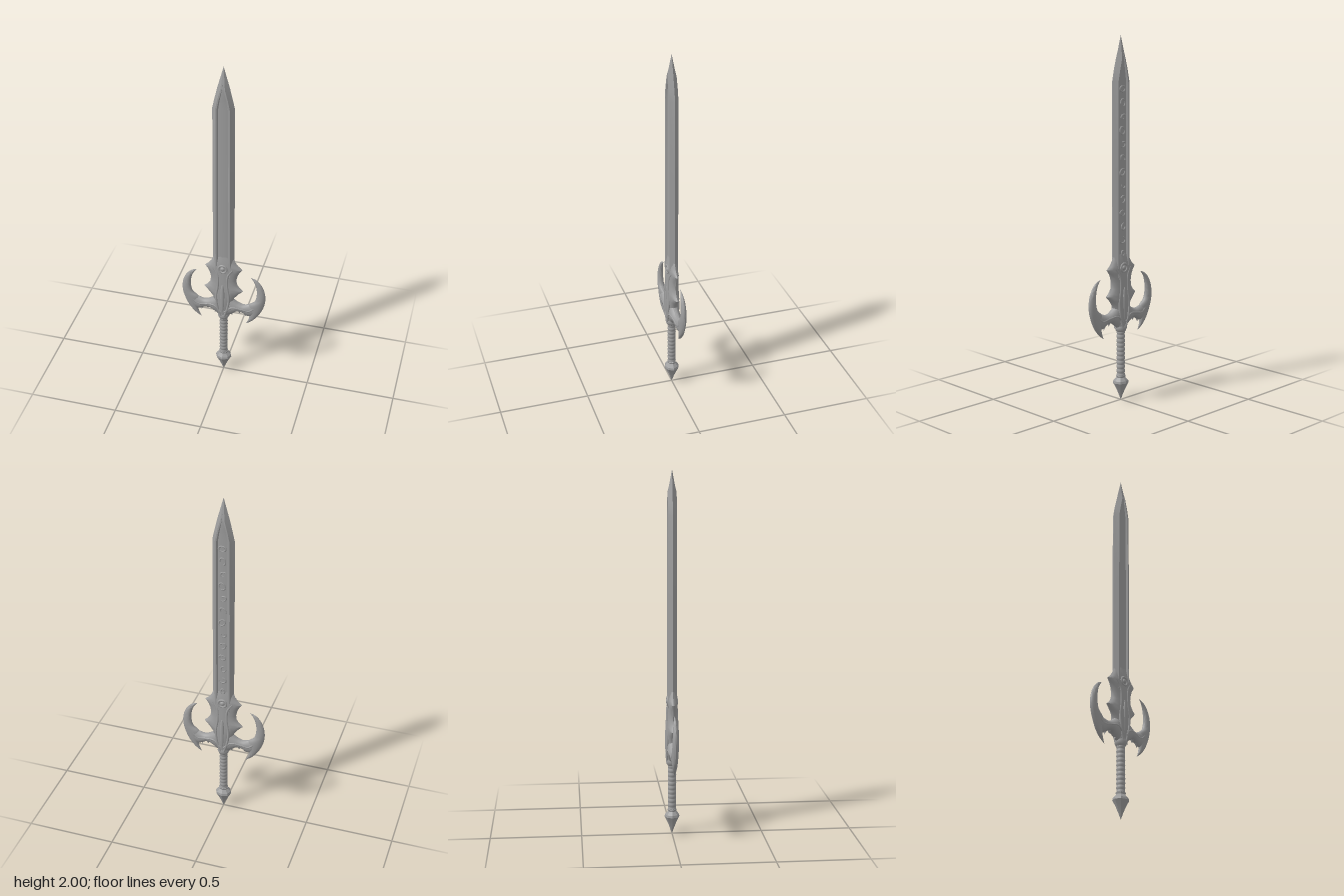
import * as THREE from 'three';
import { toCreasedNormals } from 'three/addons/utils/BufferGeometryUtils.js';

// Skin a list of closed rings (equal point counts) and cap both ends
function skin(rings, crease = 0.6) {
  const n = rings[0].length, pos = rings.flat(2), idx = [];
  for (let r = 0; r < rings.length - 1; r++) {
    for (let k = 0; k < n; k++) {
      const a = r * n + k, b = r * n + (k + 1) % n;
      idx.push(a, b, a + n, b, b + n, a + n);
    }
  }
  const last = (rings.length - 1) * n;
  for (let k = 1; k < n - 1; k++) idx.push(0, k + 1, k, last, last + k, last + k + 1);
  // Signed volume decides the winding, so mirrored parts also face outward
  const v = i => new THREE.Vector3().fromArray(pos, i * 3);
  let vol = 0;
  for (let i = 0; i < idx.length; i += 3) vol += v(idx[i]).dot(v(idx[i + 1]).cross(v(idx[i + 2])));
  if (vol < 0) idx.reverse();
  const g = new THREE.BufferGeometry();
  g.setAttribute('position', new THREE.Float32BufferAttribute(pos, 3));
  g.setIndex(idx);
  return toCreasedNormals(g, crease);
}

// Lens-shaped ring spanning edge points a and b with half thickness t
function lens([ax, ay, bx, by, t], side = 1) {
  const ring = [];
  for (let k = 0; k < 16; k++) {
    const a = k / 16 * Math.PI * 2, u = (1 - Math.cos(a)) / 2, s = Math.sin(a);
    ring.push([side * (ax + (bx - ax) * u), ay + (by - ay) * u, t * Math.sign(s) * Math.abs(s) ** 1.2]);
  }
  return ring;
}

// Smooth a list of sections with a spline through each number
function smooth(list, steps) {
  const out = [], n = list.length - 1;
  for (let i = 0; i <= n * steps; i++) {
    const j = Math.min(Math.floor(i / steps), n - 1), f = i / steps - j;
    const at = k => list[Math.max(0, Math.min(n, k))];
    out.push(list[0].map((_, c) => {
      const p = at(j - 1)[c], q = at(j)[c], r = at(j + 1)[c], s = at(j + 2)[c];
      return q + 0.5 * f * (r - p + f * (2 * p - 5 * q + 4 * r - s + f * (3 * (q - r) + s - p)));
    }));
  }
  return out;
}

export function createModel() {
  const model = new THREE.Group();
  const steel = new THREE.MeshStandardMaterial({ color: 0x9e9e9e });
  steel.name = 'steel grey';
  const add = (name, geo, x = 0, y = 0, z = 0) => {
    const m = new THREE.Mesh(geo, steel);
    m.name = name;
    m.position.set(x, y, z);
    model.add(m);
    return m;
  };

  // Blade: height, half width, fuller half width, rim half thickness, fuller half thickness
  const bladeRings = [
    [0.7, 0.06, 0.034, 0.024, 0.014], [1.3, 0.061, 0.034, 0.024, 0.014],
    [1.76, 0.06, 0.032, 0.024, 0.014], [1.82, 0.047, 0.02, 0.024, 0.015],
    [1.88, 0.033, 0.004, 0.023, 0.021], [1.92, 0.022, 0.002, 0.014, 0.014],
    [2, 0, 0, 0, 0],
  ].map(([y, w, f, z, d]) => {
    const rim = f + (w - f) * 0.28;
    const half = [[-w, 0], [-rim, z], [-f, z], [-f * 0.8, d], [0, d + 0.003 * f / 0.034], [f * 0.8, d], [f, z], [rim, z]];
    return [...half, ...half.map(([x, q]) => [-x, -q])].map(([x, q]) => [x, y, q]);
  });
  add('blade', skin(bladeRings, 0.3));

  // Barbed blade base: height, half width, half thickness
  const base = [
    [0.4, 0.026, 0.026], [0.43, 0.036, 0.031], [0.47, 0.046, 0.034], [0.51, 0.056, 0.035],
    [0.54, 0.061, 0.035], [0.57, 0.083, 0.033], [0.6, 0.112, 0.03], [0.615, 0.094, 0.03],
    [0.64, 0.077, 0.03], [0.67, 0.073, 0.029], [0.7, 0.079, 0.028], [0.725, 0.09, 0.027],
    [0.748, 0.107, 0.026], [0.765, 0.087, 0.026], [0.79, 0.068, 0.024], [0.82, 0.058, 0.018],
    [0.86, 0.02, 0.012],
  ];
  add('bladeBase', skin(base.map(([y, w, t]) => lens([-w, y, w, y, t])), 0.7));

  // Guard arm sections (top edge, bottom edge, half thickness)
  const arm = smooth([
    [0.02, 0.57, 0.02, 0.405, 0.03], [0.055, 0.535, 0.05, 0.43, 0.03],
    [0.085, 0.512, 0.08, 0.452, 0.026], [0.115, 0.505, 0.11, 0.447, 0.022],
    [0.15, 0.515, 0.145, 0.428, 0.019], [0.19, 0.53, 0.185, 0.44, 0.015],
  ], 4);

  // Crescent sections from lower tip to upper tip (outer edge, inner edge, half thickness)
  const crescent = smooth([
    [0.13, 0.37, 0.13, 0.37, 0], [0.168, 0.4, 0.148, 0.414, 0.01],
    [0.203, 0.445, 0.148, 0.45, 0.015], [0.23, 0.505, 0.14, 0.505, 0.018],
    [0.24, 0.56, 0.178, 0.54, 0.017], [0.235, 0.615, 0.19, 0.585, 0.015],
    [0.216, 0.66, 0.188, 0.635, 0.012], [0.187, 0.692, 0.175, 0.675, 0.007],
    [0.153, 0.706, 0.153, 0.706, 0],
  ], 4);

  for (const s of [1, -1]) {
    const side = s > 0 ? 'left' : 'right';
    add(side + 'GuardArm', skin(arm.map(p => lens(p, s)), 0.8));
    add(side + 'Crescent', skin(crescent.map(p => lens(p, s)), 0.8));

    // Small barbs under the guard
    for (const [x, y, len, lean] of [[0.125, 0.44, 0.04, 0.3], [0.092, 0.448, 0.025, 0], [0.045, 0.43, 0.035, 0.5]]) {
      const barb = add(side + 'Barb', new THREE.ConeGeometry(0.012, len, 8), s * x, y, 0);
      barb.rotation.z = Math.PI + s * lean;
    }

    // Raised ribs on both faces
    for (const f of [1, -1]) {
      const rib = (pts, r) => add(side + 'Rib', new THREE.TubeGeometry(new THREE.CatmullRomCurve3(
        pts.map(([x, y, z]) => new THREE.Vector3(s * x, y, f * z))), 24, r, 8));
      rib([[0.01, 0.42, 0.026], [0.03, 0.49, 0.028], [0.036, 0.56, 0.026], [0.026, 0.64, 0.025], [0.03, 0.71, 0.022], [0.055, 0.75, 0.016]], 0.007);
      rib([[0.01, 0.45, 0.028], [0.05, 0.487, 0.025], [0.1, 0.482, 0.018], [0.15, 0.475, 0.013], [0.2, 0.52, 0.01]], 0.007);
    }
  }

  // Central stem and round boss on each face
  for (const f of [1, -1]) {
    const stem = add('centralStem', new THREE.SphereGeometry(1, 16, 12), 0, 0.545, f * 0.029);
    stem.scale.set(0.013, 0.1, 0.009);
    add('bossRing', new THREE.TorusGeometry(0.023, 0.006, 8, 24), 0, 0.752, f * 0.024);
    const boss = add('boss', new THREE.SphereGeometry(1, 16, 10), 0, 0.752, f * 0.024);
    boss.scale.set(0.013, 0.013, 0.009);
  }

  // Raised ornaments along the back fuller
  for (let i = 0; i < 13; i++) {
    const r = 0.011 + 0.005 * Math.abs(Math.sin(i * 1.9));
    const ring = add('backOrnament', new THREE.TorusGeometry(r, 0.004, 6, 16, i % 3 ? 4.4 : Math.PI * 2),
      0.004 * Math.sin(i * 2.3), 0.83 + i * 0.074, -0.016);
    ring.rotation.z = i * 1.7;
    ring.scale.y = 1.3;
  }

  // Ribbed grip with a collar at the top
  const grip = [];
  for (let i = 0; i <= 88; i++) {
    grip.push(new THREE.Vector2(0.0205 + 0.003 * Math.abs(Math.sin(i / 88 * Math.PI * 11)), 0.13 + i / 88 * 0.27));
  }
  add('grip', new THREE.LatheGeometry(grip, 20));
  const lathe = (pts, n) => new THREE.LatheGeometry(pts.map(p => new THREE.Vector2(...p)), n);
  add('collar', lathe([[0.018, 0.385], [0.028, 0.397], [0.034, 0.412], [0.03, 0.43], [0.02, 0.445]], 20));

  // Faceted pointed pommel
  const pommel = add('pommel', toCreasedNormals(lathe([
    [0, 0], [0.014, 0.035], [0.027, 0.065], [0.046, 0.1], [0.043, 0.112],
    [0.026, 0.13], [0.028, 0.14], [0.019, 0.147]], 8), 0.3));
  pommel.scale.z = 0.9;

  return model;
}
